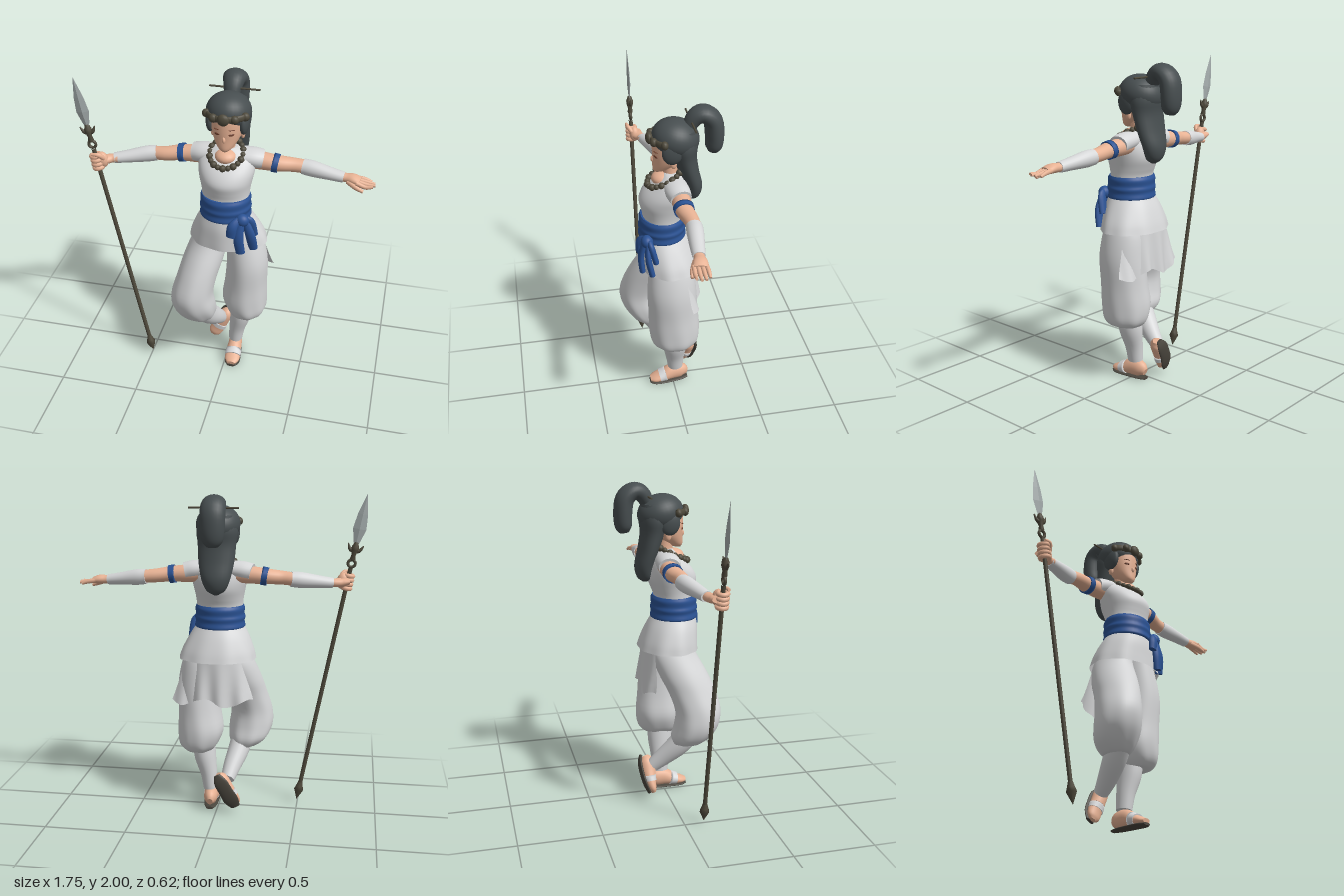
import * as THREE from 'three';

const mat = (name, color, side = THREE.FrontSide) => {
  const m = new THREE.MeshStandardMaterial({ color, side });
  m.name = name;
  return m;
};

export function createModel() {
  const root = new THREE.Group();
  const skin = mat('skin', 0xefb899), cloth = mat('cloth', 0xd6d7d8, THREE.DoubleSide);
  const blue = mat('sashBlue', 0x2b5395), hairMat = mat('hair', 0x474e50);
  const bronze = mat('darkBronze', 0x4f4a3c), steel = mat('steel', 0xa6aeae);
  const sole = mat('sole', 0x4a463e), eyeMat = mat('eyeBrown', 0x6e3f2c), lip = mat('lips', 0xc98672);

  const add = (name, geo, material, parent = root) => {
    const m = new THREE.Mesh(geo, material);
    m.name = name;
    parent.add(m);
    return m;
  };
  const ball = (name, material, p, s, parent = root, seg = 20) => {
    const m = add(name, new THREE.SphereGeometry(1, seg, Math.max(8, seg * 0.7 | 0)), material, parent);
    m.position.set(...p);
    m.scale.set(...s);
    return m;
  };

  // Smooth skin over elliptical sections [x, y, z, radiusA, radiusB]; radiusB lies along ref.
  function loft(name, material, rows, o = {}) {
    const { ref = [0, 0, 1], flat = false, open = false, segs = 24, fold = () => 1, parent = root } = o;
    const mid = new THREE.CatmullRomCurve3(rows.map(r => new THREE.Vector3(r[0], r[1], r[2])), false, 'catmullrom');
    const rad = new THREE.CatmullRomCurve3(rows.map(r => new THREE.Vector3(r[3], r[4], 0)), false, 'catmullrom');
    const n = (rows.length - 1) * 4, pos = [], idx = [];
    const up = rows[rows.length - 1][1] > rows[0][1] ? 1 : -1;
    for (let i = 0; i <= n; i++) {
      const s = i / n, c = mid.getPoint(s), r = rad.getPoint(s);
      const t = flat ? new THREE.Vector3(0, up, 0) : mid.getTangent(s);
      const v = new THREE.Vector3(...ref).addScaledVector(t, -t.dot(new THREE.Vector3(...ref))).normalize();
      const u = v.clone().cross(t);
      for (let j = 0; j < segs; j++) {
        const a = j / segs * Math.PI * 2, f = fold(a, s);
        const p = c.clone().addScaledVector(u, r.x * f * Math.cos(a)).addScaledVector(v, r.y * f * Math.sin(a));
        pos.push(p.x, p.y, p.z);
        if (i < n) {
          const k = i * segs + (j + 1) % segs, q = i * segs + j;
          idx.push(q, k, q + segs, k, k + segs, q + segs);
        }
      }
    }
    if (!open) for (const end of [0, n]) {
      const base = pos.length / 3, c = mid.getPoint(end / n);
      pos.push(...pos.slice(end * segs * 3, (end + 1) * segs * 3), c.x, c.y, c.z);
      for (let j = 0; j < segs; j++) {
        const a = base + j, b = base + (j + 1) % segs;
        idx.push(base + segs, ...(end ? [a, b] : [b, a]));
      }
    }
    const g = new THREE.BufferGeometry();
    g.setAttribute('position', new THREE.Float32BufferAttribute(pos, 3));
    g.setIndex(idx);
    g.computeVertexNormals();
    return add(name, g, material, parent);
  }

  // Head and face
  loft('head', skin, [[0, 1.605, .082, .015, .018], [0, 1.625, .062, .045, .048], [0, 1.68, .024, .08, .086],
    [0, 1.74, .01, .095, .102], [0, 1.81, 0, .098, .108], [0, 1.88, 0, .07, .08]], { flat: true });
  loft('neck', skin, [[0, 1.52, -.005, .06, .055], [0, 1.6, .005, .045, .045], [0, 1.68, .01, .045, .05]], { flat: true });
  ball('nose', skin, [0, 1.687, .108], [.01, .02, .014]);
  ball('mouth', lip, [0, 1.65, .098], [.018, .004, .007]);
  for (const s of [-1, 1]) {
    ball('eye', eyeMat, [s * .04, 1.72, .098], [.019, .008, .007]).rotation.y = s * .4;
    ball('eyebrow', eyeMat, [s * .042, 1.75, .098], [.022, .003, .007]).rotation.y = s * .4;
    ball('ear', skin, [s * .09, 1.685, .002], [.012, .028, .018]);
    ball('sideHair', hairMat, [s * .098, 1.765, .01], [.028, .075, .062]);
  }

  // Hair: cap, long fall down the back, arched ponytail and pin
  ball('hairCap', hairMat, [0, 1.812, -.025], [.133, .113, .14], root, 32).rotation.x = -.25;
  loft('backHair', hairMat, [[0, 1.87, -.06, .1, .085], [0, 1.78, -.065, .125, .09], [0, 1.7, -.075, .116, .073],
    [0, 1.6, -.1, .108, .062], [0, 1.5, -.127, .088, .057], [0, 1.43, -.125, .058, .045], [0, 1.4, -.12, .015, .015]], { flat: true });
  loft('ponytail', hairMat, [[0, 1.87, -.1, .04, .045], [0, 1.93, -.14, .05, .06], [0, 1.945, -.19, .052, .072],
    [0, 1.9, -.24, .056, .075], [0, 1.81, -.253, .055, .073], [0, 1.74, -.25, .05, .062], [0, 1.705, -.245, .03, .035]], { ref: [1, 0, 0] });
  const pin = add('hairPin', new THREE.CylinderGeometry(.006, .006, .3, 8), bronze);
  pin.position.set(.015, 1.915, -.11);
  pin.rotation.z = Math.PI / 2;

  // Browband across the front of the hair, with ornaments
  const band = [-1.15, -.8, -.4, 0, .4, .8, 1.15].map(a => [Math.sin(a) * .134, 1.823, -.012 + Math.cos(a) * .134, .02, .011]);
  loft('browband', bronze, band, { segs: 12, ref: [0, 0, -1] });
  for (const a of [-1.05, -.5, 0, .5, 1.05]) {
    const r = a ? .026 : .036;
    ball('browOrnament', bronze, [Math.sin(a) * .13, 1.823, -.012 + Math.cos(a) * .14], [r, r, .022], root, 12);
  }

  // Bodice, neckline and cap sleeves
  loft('bodice', cloth, [[0, 1.17, .06, .143, .128], [0, 1.3, .055, .143, .12], [0, 1.36, .05, .148, .134],
    [0, 1.42, .044, .16, .15], [0, 1.48, .03, .17, .134], [0, 1.54, .01, .16, .095], [0, 1.585, 0, .1, .06], [0, 1.6, 0, .06, .045]], { flat: true, segs: 40 });
  ball('neckline', skin, [0, 1.555, .047], [.068, .044, .072]);
  for (const s of [-1, 1])
    loft('capSleeve', cloth, [[s * .08, 1.54, -.005, .052, .072], [s * .15, 1.533, -.012, .057, .073], [s * .205, 1.522, -.02, .056, .064]]);

  // Bead necklace
  for (let i = 0; i < 20; i++) {
    const a = i / 20 * Math.PI * 2, r = .017 + .004 * ((i + 1) % 2);
    ball('necklaceBead', bronze, [.098 * Math.sin(a), 1.57 - .05 * Math.cos(a), .042 + .1 * Math.cos(a)], [r, r, r], root, 10);
  }

  // Sash with three wraps, knot and hanging ends
  loft('sash', blue, [[0, 1.168, .058, .146, .134], [0, 1.18, .058, .157, .145], [0, 1.21, .058, .152, .14], [0, 1.235, .058, .157, .144],
    [0, 1.258, .058, .151, .139], [0, 1.29, .057, .154, .141], [0, 1.312, .057, .146, .13]], { flat: true, segs: 36 });
  ball('sashKnot', blue, [.125, 1.2, .17], [.042, .04, .037]);
  const ends = [[[.12, 1.2, .18], [.11, 1.09, .205], [.122, .985, .2]], [[.14, 1.2, .165], [.175, 1.1, .17], [.19, .995, .15]],
    [[.11, 1.21, .18], [.075, 1.17, .21], [.065, 1.1, .212]], [[.14, 1.21, .16], [.17, 1.18, .15], [.185, 1.08, .125]]];
  for (const [a, b, c] of ends)
    loft('sashEnd', blue, [[...a, .022, .016], [...b, .031, .019], [...c, .029, .018]], { segs: 12 });

  // Flared tunic skirt and pleated back panel hanging beneath it
  loft('tunicSkirt', cloth, [[0, 1.19, .058, .144, .132], [.002, 1.12, .045, .185, .157], [.008, 1.04, .03, .222, .175], [.012, .98, .022, .24, .185]],
    { flat: true, open: true, segs: 60, fold: (a, s) => 1 + .018 * s * Math.sin(9 * a) });
  const panel = new THREE.PlaneGeometry(1, 1, 40, 6), pp = panel.attributes.position;
  for (let i = 0; i < pp.count; i++) {
    const d = .5 - pp.getY(i), x = .025 + pp.getX(i) * (.32 + .19 * d);
    const hem = .73 + .025 * Math.sin(22 * x);
    pp.setXYZ(i, x, 1.03 + (hem - 1.03) * d, -.138 - .025 * d + (2.5 - 1.7 * d) * x * x + .012 * d * Math.sin(50 * x));
  }
  panel.computeVertexNormals();
  add('backPanel', panel, cloth);

  // Gathered trousers: standing left leg, bent right leg
  const gather = (a, s) => 1 + .035 * s * s * Math.sin(8 * a + 5 * s);
  loft('leftTrouser', cloth, [[.09, 1.1, .04, .08, .1], [.112, .98, .022, .112, .135], [.13, .82, .02, .127, .152], [.122, .65, .01, .133, .156],
    [.114, .52, .002, .142, .162], [.125, .43, 0, .125, .148], [.125, .385, 0, .092, .11], [.1, .38, 0, .06, .07]], { flat: true, segs: 48, fold: gather });
  loft('rightTrouser', cloth, [[-.08, 1.1, .04, .08, .1], [-.1, .98, .03, .112, .135], [-.135, .85, .08, .125, .15], [-.165, .74, .13, .125, .147],
    [-.192, .62, .165, .13, .143], [-.19, .52, .155, .138, .137], [-.175, .44, .125, .122, .122], [-.155, .39, .11, .08, .09], [-.15, .385, .1, .05, .06]],
    { flat: true, segs: 48, fold: gather });

  // Wrapped calves
  loft('leftCalf', cloth, [[.095, .42, -.005, .07, .08], [.085, .33, -.01, .068, .078], [.062, .22, -.015, .053, .06], [.05, .12, -.018, .045, .05]]);
  loft('rightCalf', cloth, [[-.14, .44, .12, .07, .075], [-.12, .36, .06, .067, .072], [-.09, .28, -.02, .056, .06], [-.07, .215, -.09, .043, .045]]);

  // Feet with soles and instep straps
  loft('leftFoot', skin, [[.045, .05, -.095, .02, .025], [.046, .065, -.06, .04, .052], [.05, .068, 0, .045, .056], [.052, .046, .07, .05, .036],
    [.055, .035, .12, .047, .024], [.055, .03, .152, .028, .014]], { ref: [0, 1, 0] });
  loft('leftSole', sole, [[.045, .01, -.1, .022, .009], [.046, .01, -.05, .04, .01], [.052, .01, .05, .049, .01], [.055, .01, .12, .047, .01],
    [.055, .012, .155, .026, .008]], { ref: [0, 1, 0] });
  loft('leftStrap', cloth, [[.052, .054, .045, .053, .046], [.053, .044, .09, .054, .037]], { ref: [0, 1, 0] });
  loft('rightFoot', skin, [[-.015, .255, -.135, .02, .022], [-.035, .225, -.125, .042, .045], [-.065, .165, -.12, .045, .044], [-.095, .105, -.115, .048, .034],
    [-.115, .065, -.105, .042, .024], [-.125, .045, -.1, .022, .012]]);
  loft('rightSole', sole, [[-.012, .262, -.16, .02, .01], [-.035, .22, -.17, .042, .012], [-.07, .155, -.163, .045, .012], [-.1, .095, -.148, .048, .011],
    [-.125, .045, -.126, .03, .01]]);
  loft('rightStrap', cloth, [[-.075, .145, -.118, .049, .043], [-.09, .112, -.115, .051, .038]]);

  // Arms: side, elbow z, wrist z
  for (const [s, ez, wz] of [[1, -.045, -.02], [-1, -.008, .06]]) {
    const arm = new THREE.Group();
    arm.name = s > 0 ? 'leftArm' : 'rightArm';
    root.add(arm);
    const o = { parent: arm };
    loft('upperArm', skin, [[s * .12, 1.515, -.015, .055, .058], [s * .2, 1.51, -.02, .053, .056], [s * .29, 1.504, -.02, .047, .053],
      [s * .38, 1.495, ez + .006, .042, .045], [s * .46, 1.488, ez, .04, .042]], o);
    loft('armBand', blue, [[s * .265, 1.507, -.02, .056, .06], [s * .3, 1.502, -.02, .055, .059]], o);
    loft('bracer', cloth, [[s * .44, 1.488, ez, .046, .047], [s * .5, 1.482, ez * .8 + wz * .2, .048, .048], [s * .6, 1.47, ez * .35 + wz * .65, .038, .042],
      [s * .685, 1.46, wz, .031, .036]], o);
    loft('wrist', skin, [[s * .66, 1.463, wz - s * .003, .027, .03], [s * .7, 1.46, wz + (s < 0 ? .008 : 0), .026, .031],
      [s * .74, 1.46, wz + (s < 0 ? .03 : .004), .027, .041], [s * .78, s < 0 ? 1.465 : 1.452, s < 0 ? .1 : -.01, .02, .043]], o);
  }

  // Open left hand
  for (let i = 0; i < 4; i++) {
    const z = -.043 + i * .022, l = [.088, .108, .111, .098][i];
    loft('finger', skin, [[.76, 1.455, z, .014, .013], [.76 + l * .55, 1.448 - .004 * i, z + (i - 1.5) * .002, .013, .012],
      [.76 + l, 1.434 + .003 * i, z + (i - 1.5) * .003, .008, .008]], { segs: 10 });
  }
  loft('thumb', skin, [[.71, 1.45, .005, .016, .015], [.76, 1.43, .03, .015, .014], [.805, 1.412, .04, .009, .009]], { segs: 10 });

  // Spear, leaning outward, with the gripping right hand
  const spear = new THREE.Group();
  spear.name = 'spear';
  spear.position.set(-.495, .012, .12);
  spear.rotation.z = .19;
  root.add(spear);
  const lathe = (name, m, pts, segs) => add(name, new THREE.LatheGeometry(pts.map(p => new THREE.Vector2(...p)), segs), m, spear);
  lathe('shaft', bronze, [[.013, .08], [.013, 1.56]], 12);
  lathe('buttCap', bronze, [[0, 0], [.03, .07], [.022, .095], [.014, .125]], 8);
  lathe('collar', bronze, [[.012, 1.605], [.017, 1.615], [.013, 1.64], [.022, 1.67], [.022, 1.69], [.01, 1.72]], 12);
  add('shaftRing', new THREE.TorusGeometry(.022, .009, 8, 20), bronze, spear).position.y = 1.588;
  for (const s of [-1, 1])
    loft('guardHorn', bronze, [[0, 1.665, 0, .014, .012], [s * .028, 1.672, 0, .012, .01], [s * .047, 1.705, 0, .003, .003]], { parent: spear, segs: 8 });
  const blade = new THREE.LatheGeometry([[.008, 1.69], [.022, 1.73], [.04, 1.8], [.03, 1.89], [0, 2.018]].map(p => new THREE.Vector2(...p)), 4).toNonIndexed();
  blade.scale(1, 1, .27);
  blade.computeVertexNormals();
  add('blade', blade, steel, spear);
  for (let i = 0; i < 4; i++) {
    const f = add('grippingFinger', new THREE.TorusGeometry(.026, .014, 8, 18), skin, spear);
    f.rotation.x = Math.PI / 2;
    f.position.set(0, 1.435 + i * .026, 0);
  }
  ball('palm', skin, [.03, 1.475, -.015], [.035, .05, .032], spear);
  loft('grippingThumb', skin, [[.045, 1.49, .0, .015, .015], [.03, 1.525, .025, .014, .013], [-.01, 1.535, .03, .009, .009]], { parent: spear, segs: 10, ref: [0, 1, 1] });
  return root;
}
